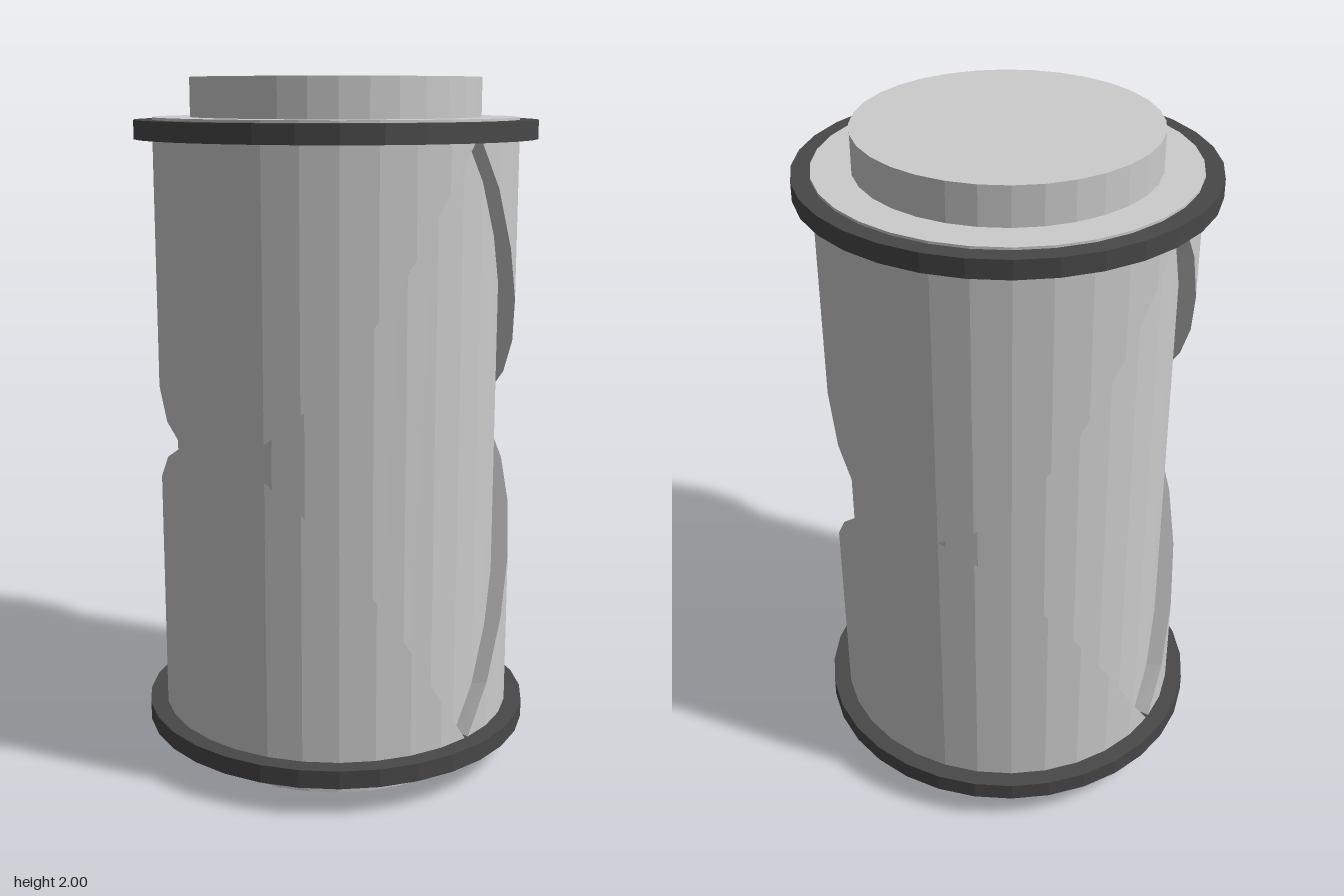
import * as THREE from 'three';

const SIDES = 32;
const OUTER = 0.525, CORE = 0.475;
const MID = 0.99, HALF = 0.87; // centre height and half height of the sleeve

const grey = new THREE.MeshStandardMaterial({ color: 0xcccccc, flatShading: true });
const dark = new THREE.MeshStandardMaterial({ color: 0x484848, flatShading: true });

// Upright cylinder between two heights
function disc(name, radius, y0, y1, material) {
  const mesh = new THREE.Mesh(new THREE.CylinderGeometry(radius, radius, y1 - y0, SIDES), material);
  mesh.position.y = (y0 + y1) / 2;
  mesh.name = name;
  return mesh;
}

// Sleeve with a diamond window cut straight through from side to side (along x)
function sleeveGeometry() {
  const tipZ = OUTER * Math.cos((2 * Math.PI) / SIDES);
  const cutHeight = z => Math.min(HALF - 0.01, Math.max(0, (tipZ - Math.abs(z)) * 1.73));
  const positions = [];

  const quad = (a, b, c, d, flip) => {
    const corners = flip ? [a, c, b, a, d, c] : [a, b, c, a, c, d];
    corners.forEach(p => positions.push(...p));
  };

  for (const s of [1, -1]) {
    // Point on the window's edge, or on the sleeve's end
    const edge = (r, t) => {
      const z = r * Math.cos(t);
      return [r * Math.sin(t), MID + s * cutHeight(z), z];
    };
    const end = t => [OUTER * Math.sin(t), MID + s * HALF, OUTER * Math.cos(t)];

    for (let i = 0; i < SIDES; i++) {
      const t0 = (i / SIDES) * Math.PI * 2, t1 = ((i + 1) / SIDES) * Math.PI * 2;
      const o0 = edge(OUTER, t0), o1 = edge(OUTER, t1);
      quad(o0, o1, end(t1), end(t0), s < 0); // outer wall
      quad(edge(CORE, t0), edge(CORE, t1), o1, o0, s < 0); // cut face
    }
  }

  const geometry = new THREE.BufferGeometry();
  geometry.setAttribute('position', new THREE.Float32BufferAttribute(positions, 3));
  geometry.computeVertexNormals();
  return geometry;
}

export function createModel() {
  const model = new THREE.Group();
  model.name = 'canister';

  // Inner body seen through the windows
  model.add(disc('core', CORE, 0.1, 1.87, grey));

  const sleeve = new THREE.Mesh(sleeveGeometry(), grey);
  sleeve.name = 'sleeve';
  model.add(sleeve);

  // End plates, dark rings and end plugs
  model.add(
    disc('bottomPlate', OUTER, 0.075, 0.135, grey),
    disc('topPlate', OUTER, 1.835, 1.89, grey),
    disc('bottomRing', 0.577, 0.087, 0.14, dark),
    disc('topRing', 0.577, 1.83, 1.883, dark),
    disc('bottomPlug', 0.43, 0, 0.08, grey),
    disc('topPlug', 0.417, 1.88, 2, grey)
  );
  return model;
}
